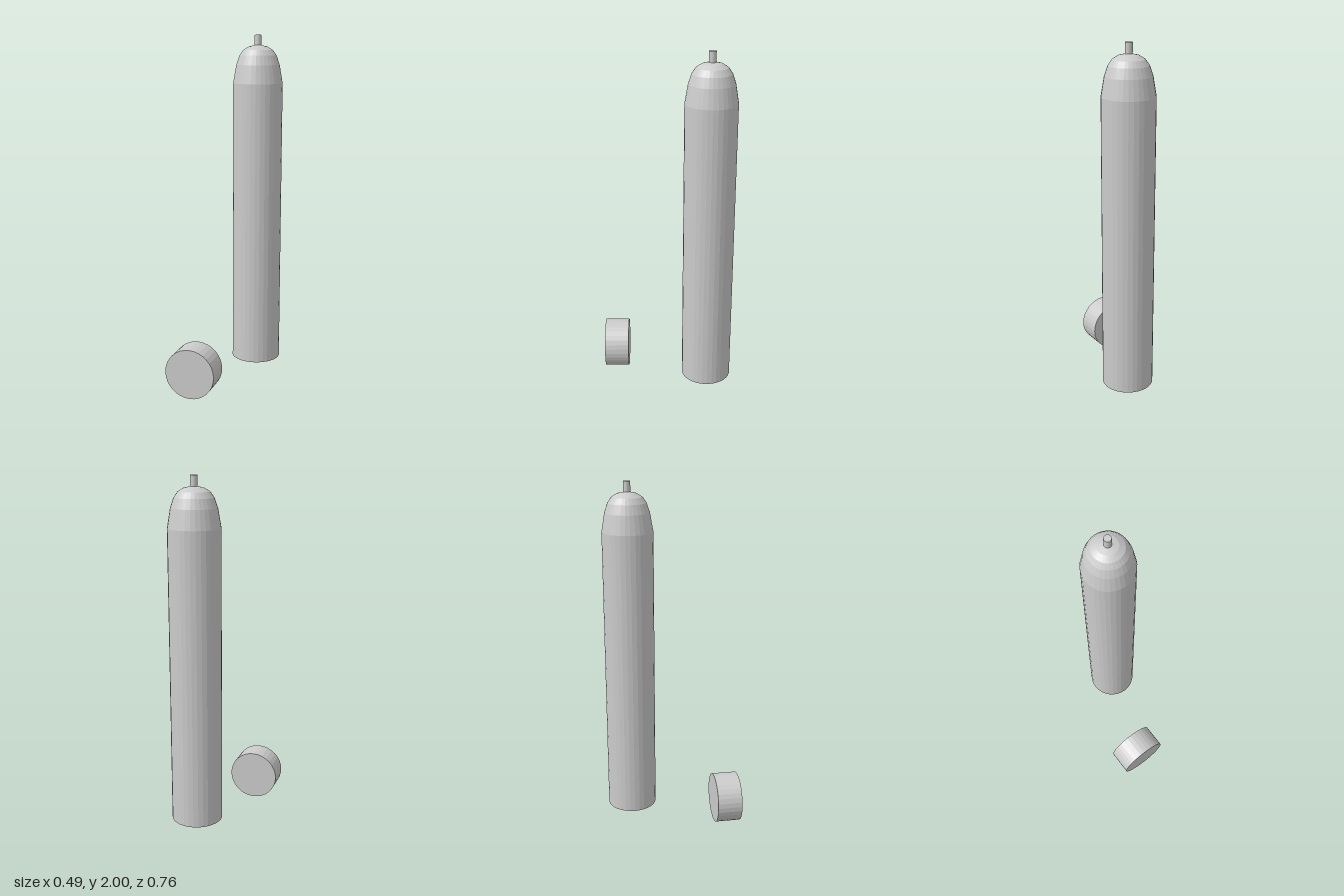
import * as THREE from 'three';

export function createModel() {
  const group = new THREE.Group();
  const material = new THREE.MeshStandardMaterial({ color: 0xcccccc, flatShading: true });
  const R = 0.144, SIDES = 32;

  const add = (name, geometry, x, y, z) => {
    const mesh = new THREE.Mesh(geometry, material);
    mesh.name = name;
    mesh.position.set(x, y, z);
    group.add(mesh);
    return mesh;
  };

  // Can body: flat base, straight wall and rounded shoulder
  const profile = [
    [0, 0.062], [R, 0.062], [R, 1.725], [0.126, 1.83], [0.108, 1.883],
    [0.086, 1.915], [0.055, 1.934], [0.02, 1.942], [0, 1.942],
  ].map(([r, y]) => new THREE.Vector2(r, y));
  add('canBody', new THREE.LatheGeometry(profile, SIDES), 0.1, 0, -0.235);

  // Valve stem on top
  add('valveStem', new THREE.CylinderGeometry(0.02, 0.02, 0.07, SIDES), 0.1, 1.965, -0.235);

  // Loose cap lying on its side in front of the can
  const cap = add('cap', new THREE.CylinderGeometry(R, R, 0.144, SIDES), -0.102, R, 0.307);
  cap.rotation.x = Math.PI / 2;

  return group;
}
